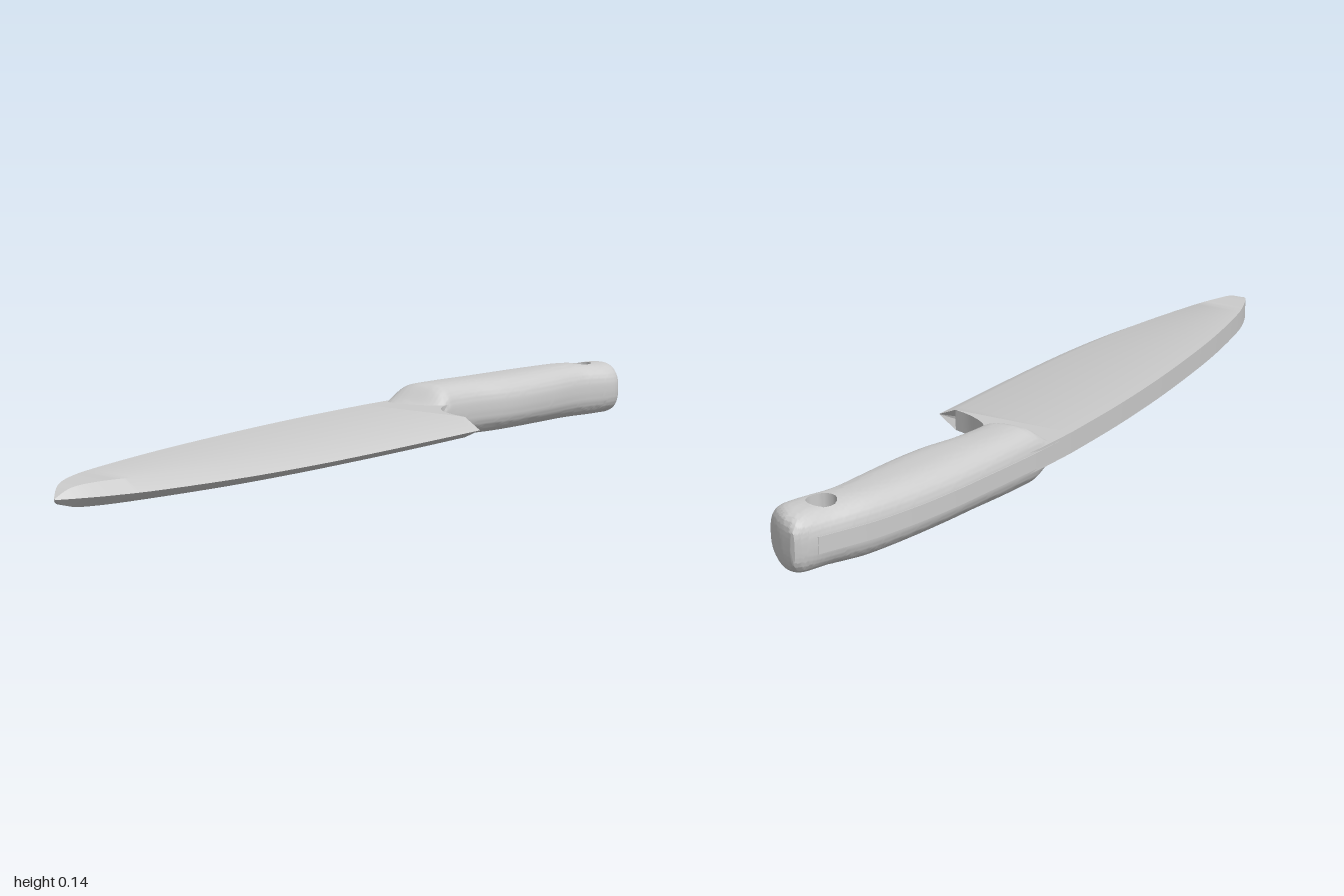
import * as THREE from 'three';
import { toCreasedNormals } from 'three/addons/utils/BufferGeometryUtils.js';

const MID = 0.069;   // height of the centre plane
const HALF = 0.024;  // half thickness of the blade
const HOLE = { x: 0.89, z: -0.01, r: 0.031 };

// Samples columns [x, a, b, ...] as smooth curves sharing the same x stations.
function sample(rows, steps) {
  const count = (rows.length - 1) * steps;
  const curves = rows[0].slice(1).map((_, c) =>
    new THREE.SplineCurve(rows.map(r => new THREE.Vector2(r[0], r[c + 1]))));
  return Array.from({ length: count + 1 }, (_, i) => {
    const pts = curves.map(c => c.getPoint(i / count));
    return [pts[0].x, ...pts.map(p => p.y)];
  });
}

// Skins cross-sections running along +x, with optional round hole along y.
function loft(sections, hole) {
  const n = sections[0].length, m = sections.length;
  const at = (i, j) => i * n + ((j + n) % n);
  const verts = sections.flat();
  const quad = (i, j) => [at(i, j), at(i + 1, j), at(i + 1, j + 1), at(i, j + 1)];
  const gone = (i, j) => {
    if (!hole || i < 0 || i >= m - 1) return false;
    const c = quad(i, j).reduce((s, k) => s.add(verts[k]), new THREE.Vector3()).divideScalar(4);
    return Math.hypot(c.x - hole.x, c.z - hole.z) < hole.r;
  };
  const cut = Array.from({ length: m - 1 }, (_, i) => Array.from({ length: n }, (_, j) => gone(i, j)));
  const isCut = (i, j) => i >= 0 && i < m - 1 && cut[i][(j + n) % n];
  const index = [], rim = new Set();
  const face = (a, b, c, d) => index.push(a, b, c, a, c, d);
  const mirror = k => at(Math.floor(k / n), n - (k % n));
  for (let i = 0; i < m - 1; i++) for (let j = 0; j < n; j++) {
    const q = quad(i, j);
    if (!cut[i][j]) { face(...q); continue; }
    // wall of the hole, from each rim edge to its mirror below
    const next = [[i, j - 1], [i + 1, j], [i, j + 1], [i - 1, j]];
    next.forEach(([a, b], e) => {
      if (isCut(a, b)) return;
      const p = q[e], r = q[(e + 1) % 4];
      rim.add(p).add(r);
      if (j < n / 2) face(p, r, mirror(r), mirror(p));
    });
  }
  // end caps
  for (let j = 1; j < n - 1; j++) {
    index.push(at(0, 0), at(0, j), at(0, j + 1));
    index.push(at(m - 1, 0), at(m - 1, j + 1), at(m - 1, j));
  }
  // round off the rim
  rim.forEach(k => {
    const v = verts[k], s = hole.r / Math.hypot(v.x - hole.x, v.z - hole.z);
    v.x = hole.x + (v.x - hole.x) * s;
    v.z = hole.z + (v.z - hole.z) * s;
  });
  const geo = new THREE.BufferGeometry().setFromPoints(verts);
  geo.setIndex(index);
  return toCreasedNormals(geo, 0.55);
}

// Plate lying flat, from an outline of [x, z] points.
function plate(points, thickness) {
  const shape = new THREE.Shape(points.map(([x, z]) => new THREE.Vector2(x, -z)));
  const geo = new THREE.ExtrudeGeometry(shape, { depth: thickness, bevelEnabled: false });
  geo.rotateX(-Math.PI / 2).translate(0, MID - thickness / 2, 0);
  return toCreasedNormals(geo, 0.55);
}

export function createModel() {
  const group = new THREE.Group();
  const material = new THREE.MeshStandardMaterial({ color: 0xcccccc });
  const add = (name, geo) => {
    const mesh = new THREE.Mesh(geo, material);
    mesh.name = name;
    group.add(mesh);
  };

  // Blade: x, spine z, bevel z, edge z, half thickness
  const blade = sample([
    [-1, -0.002, 0, 0.002, 0.002],
    [-0.96, -0.032, 0.006, 0.026, 0.019],
    [-0.9, -0.06, 0.02, 0.056, HALF],
    [-0.8, -0.09, 0.048, 0.092, HALF],
    [-0.6, -0.126, 0.086, 0.136, HALF],
    [-0.4, -0.15, 0.107, 0.16, HALF],
    [-0.2, -0.167, 0.117, 0.17, HALF],
    [0, -0.176, 0.122, 0.174, HALF],
    [0.2, -0.177, 0.122, 0.176, HALF],
  ], 6).map(([x, spine, bevel, edge, h]) => [
    // the heel leans back towards the cutting edge
    new THREE.Vector3(x - 0.015 * Math.max(0, x / 0.2), MID, edge),
    new THREE.Vector3(x, MID + h, bevel),
    new THREE.Vector3(x, MID + h, spine),
    new THREE.Vector3(x, MID - h, spine),
    new THREE.Vector3(x, MID - h, bevel),
  ]);
  add('blade', loft(blade));

  // Neck with the curved notch behind the heel
  const notch = new THREE.SplineCurve([[0.2, 0.122], [0.215, 0.075], [0.24, 0.03], [0.27, 0.002],
    [0.31, -0.015], [0.37, -0.018]].map(p => new THREE.Vector2(...p)));
  add('neck', plate([
    [0.37, -0.165], [0.3, -0.172], [0.2, -0.177],
    ...notch.getPoints(24).map(p => [p.x, p.y]),
  ], 2 * HALF));

  // Handle: x, back z, front z, half height
  const rows = sample([
    [0.25, -0.174, -0.02, 0.067],
    [0.3, -0.172, -0.013, 0.068],
    [0.36, -0.168, -0.013, 0.068],
    [0.44, -0.161, 0, 0.068],
    [0.52, -0.153, 0.024, 0.068],
    [0.6, -0.145, 0.036, 0.068],
    [0.7, -0.13, 0.041, 0.068],
    [0.78, -0.113, 0.042, 0.068],
    [0.83, -0.1, 0.048, 0.068],
    [0.87, -0.086, 0.064, 0.067],
    [0.91, -0.07, 0.08, 0.065],
    [0.94, -0.058, 0.078, 0.065],
    [0.965, -0.048, 0.055, 0.062],
    [0.985, -0.038, 0.025, 0.054],
    [1, -0.024, -0.014, 0.034],
  ], 8);
  const SIDES = 72;
  const round = v => Math.sign(v) * Math.abs(v) ** 0.76;
  const handle = rows.map(([x, back, front, h]) => Array.from({ length: SIDES }, (_, j) => {
    const a = j / SIDES * Math.PI * 2, t = round(Math.cos(a));
    // bolster flares out of the blade along a curved line
    const flare = THREE.MathUtils.smoothstep(x, 0.24 + 0.02 * (t + 1), 0.325 + 0.01 * (t + 1));
    const y = h * round(Math.sin(a)) * THREE.MathUtils.lerp(0.3, 1, flare);
    return new THREE.Vector3(x, MID + y, (back + front) / 2 + t * (front - back) / 2);
  }));
  add('handle', loft(handle, HOLE));

  // Tang strip showing along the back of the handle
  const back = rows.filter(r => r[0] < 0.96);
  add('tang', plate([
    ...back.map(r => [r[0], r[1] - 0.001]),
    ...back.map(r => [r[0], r[1] + 0.012]).reverse(),
  ], 0.036));

  return group;
}
